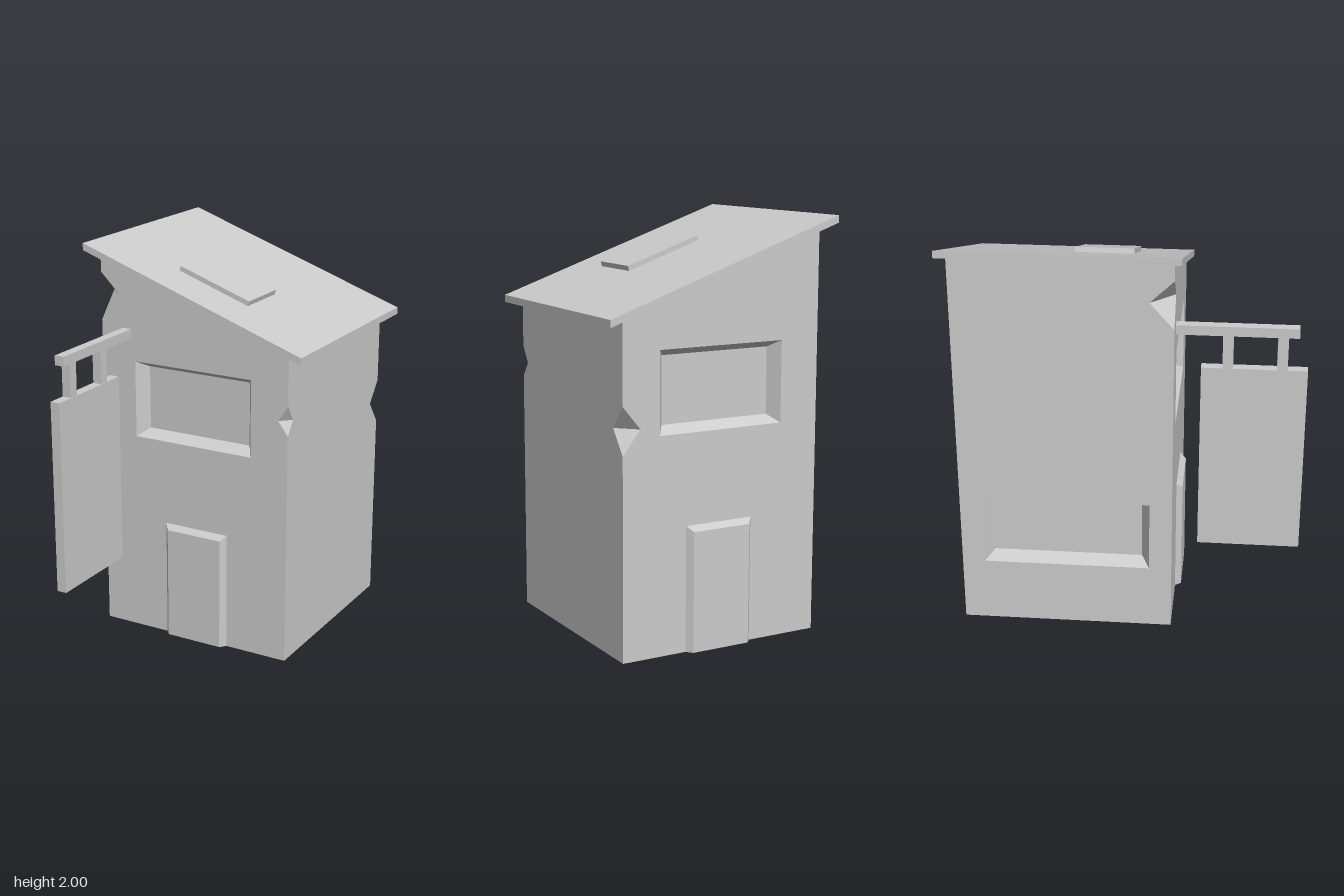
import * as THREE from 'three';

const H = 0.52;                       // half width of the square body
const HIGH = 1.937, LOW = 1.578;      // wall heights under the sloping roof
const grey = new THREE.MeshStandardMaterial({ color: 0xcccccc, flatShading: true });
const shell = new THREE.MeshStandardMaterial({ color: 0xcccccc, flatShading: true, side: THREE.DoubleSide });

function add(parent, name, geometry, material = grey) {
  const mesh = new THREE.Mesh(geometry, material);
  mesh.name = name;
  parent.add(mesh);
  return mesh;
}

function box(parent, name, [x0, x1], [y0, y1], [z0, z1]) {
  const g = new THREE.BoxGeometry(x1 - x0, y1 - y0, z1 - z0);
  add(parent, name, g.translate((x0 + x1) / 2, (y0 + y1) / 2, (z0 + z1) / 2));
}

function triangles(points) {
  const g = new THREE.BufferGeometry().setFromPoints(points);
  g.computeVertexNormals();
  return g;
}

const toShape = pts => new THREE.Shape(pts.map(p => new THREE.Vector2(...p)));

// Slab with an x/y profile, running along z
function slab(parent, name, pts, z0, z1) {
  const g = new THREE.ExtrudeGeometry(toShape(pts), { depth: z1 - z0, bevelEnabled: false });
  add(parent, name, g.translate(0, 0, z0));
}

const corners = ([x0, x1, y0, y1]) => [[x0, y0], [x1, y0], [x1, y1], [x0, y1]];

// Panel pushed in or out of a wall, joined to it by sloping sides
function panel(parent, name, outer, inner, depth) {
  const o = corners(outer).map(p => new THREE.Vector3(p[0], p[1], 0));
  const n = corners(inner).map(p => new THREE.Vector3(p[0], p[1], depth));
  const pts = [n[0], n[1], n[2], n[0], n[2], n[3]];
  for (let i = 0; i < 4; i++) {
    if (i === 0 && outer[2] === 0) continue;   // doors stay open at the ground
    const j = (i + 1) % 4;
    pts.push(o[i], o[j], n[j], o[i], n[j], n[i]);
  }
  add(parent, name, triangles(pts), shell);
}

// Chips knocked out of the corner edges
const chips = [
  { sx: -1, sz: 1, y: [1.62, 1.75, 1.86], d: 0.115 },
  { sx: 1, sz: 1, y: [1.18, 1.25, 1.33], d: 0.052 },
  { sx: 1, sz: -1, y: [0.965, 1.08, 1.19], d: 0.09 },
];
const [chipFrontRight, chipFrontLeft, chipBackLeft] = chips;

function chipEdge(chip, side) {
  if (!chip) return [];
  const [a, b, c] = chip.y;
  return [[side * H, a], [side * (H - chip.d), b], [side * H, c]];
}

// One wall, drawn facing +z and then turned into place
function wall(parent, { name, angle, tops, chipL, chipR, door, window }) {
  const side = new THREE.Group();
  side.name = name;
  side.rotation.y = angle;
  parent.add(side);
  const doorway = door ? [[door[0], 0], [door[0], door[3]], [door[1], door[3]], [door[1], 0]] : [];
  const shape = toShape([
    [-H, 0], ...doorway, [H, 0], ...chipEdge(chipR, 1), [H, tops[1]],
    [-H, tops[0]], ...chipEdge(chipL, -1).reverse(),
  ]);
  if (window) {
    shape.holes.push(new THREE.Path(corners(window).reverse().map(p => new THREE.Vector2(...p))));
    const [a, b, c, d] = window;
    panel(side, 'window', window, [a + 0.045, b - 0.04, c + 0.035, d - 0.035], -0.065);
  }
  if (door) {
    const [a, b, c, d] = door;
    panel(side, 'door', door, [a + 0.025, b - 0.025, c, d - 0.025], 0.03);
  }
  add(side, 'wallSurface', new THREE.ShapeGeometry(shape), shell).position.z = 0;
  side.translateZ(H);
}

export function createModel() {
  const model = new THREE.Group();
  model.name = 'house';

  // Hollow body, open underneath
  const body = new THREE.Group();
  body.name = 'body';
  body.position.z = -0.29;
  model.add(body);
  const highWindow = [-0.33, 0.32, 1.04, 1.43];
  wall(body, {
    name: 'frontWall', angle: 0, tops: [HIGH, LOW], chipL: chipFrontRight, chipR: chipFrontLeft,
    door: [-0.16, 0.19, 0, 0.605], window: highWindow,
  });
  wall(body, {
    name: 'backWall', angle: Math.PI, tops: [LOW, HIGH], chipL: chipBackLeft,
    door: [-0.19, 0.16, 0, 0.605], window: highWindow,
  });
  wall(body, {
    name: 'rightWall', angle: -Math.PI / 2, tops: [HIGH, HIGH], chipR: chipFrontRight,
    window: [-0.41, 0.41, 0.33, 0.69],
  });
  wall(body, {
    name: 'leftWall', angle: Math.PI / 2, tops: [LOW, LOW], chipL: chipFrontLeft, chipR: chipBackLeft,
  });

  // Two sloping faces close each chip
  for (const { sx, sz, y, d } of chips) {
    const bottom = new THREE.Vector3(sx * H, y[0], sz * H);
    const top = new THREE.Vector3(sx * H, y[2], sz * H);
    const a = new THREE.Vector3(sx * (H - d), y[1], sz * H);
    const b = new THREE.Vector3(sx * H, y[1], sz * (H - d));
    const [p, q] = sx * sz > 0 ? [a, b] : [b, a];
    add(body, 'cornerChip', triangles([top, p, q, bottom, q, p]), shell);
  }

  // Single-pitch roof with a raised hatch
  slab(model, 'roof', [[-0.6, 1.965], [0.6, 1.55], [0.6, 1.585], [-0.6, 2]], -0.85, 0.265);
  slab(model, 'roofHatch', [[-0.2, 1.855], [0.185, 1.722], [0.193, 1.752], [-0.19, 1.884]], -0.26, 0.02);

  // Hanging sign on a beam
  const sign = new THREE.Group();
  sign.name = 'hangingSign';
  model.add(sign);
  box(sign, 'beam', [-0.4, -0.35], [1.545, 1.592], [0.17, 0.805]);
  for (const z of [0.475, 0.73]) box(sign, 'hanger', [-0.398, -0.352], [1.38, 1.55], [z - 0.025, z + 0.025]);
  box(sign, 'signBoard', [-0.4, -0.35], [0.42, 1.38], [0.35, 0.85]);

  return model;
}
